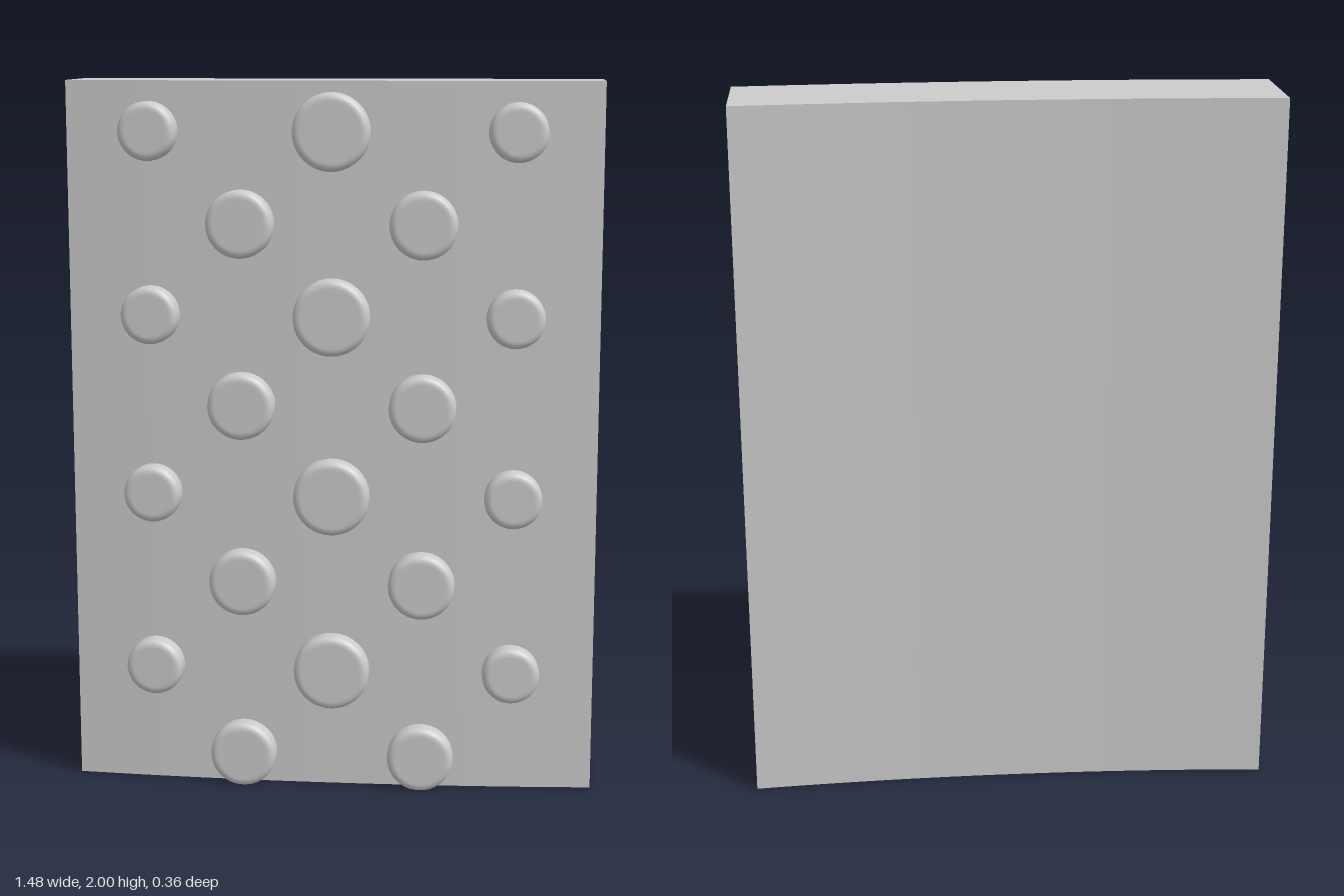
import * as THREE from 'three';
import { toCreasedNormals } from 'three/addons/utils/BufferGeometryUtils.js';

const HALF_W = 0.74, HEIGHT = 2, RADIUS = 9.6;
const FRONT = 0.128, BACK = -0.156;
const sag = (x) => RADIUS - Math.sqrt(RADIUS * RADIUS - x * x);

export function createModel() {
  const model = new THREE.Group();
  model.name = 'studdedPanel';
  const material = new THREE.MeshStandardMaterial({ color: 0xcccccc });

  // Gently bowed slab: curved plan outline extruded upwards
  const steps = 24, outline = [];
  for (let i = 0; i <= steps; i++) {
    const x = -HALF_W + (2 * HALF_W * i) / steps;
    outline.push(new THREE.Vector2(x, -(FRONT - sag(x))));
  }
  for (let i = steps; i >= 0; i--) {
    const x = -HALF_W + (2 * HALF_W * i) / steps;
    outline.push(new THREE.Vector2(x, -(BACK - sag(x))));
  }
  const slabGeo = new THREE.ExtrudeGeometry(new THREE.Shape(outline), { depth: HEIGHT, bevelEnabled: false });
  slabGeo.rotateX(-Math.PI / 2);
  const slab = new THREE.Mesh(toCreasedNormals(slabGeo, 0.5), material);
  slab.name = 'curvedSlab';
  model.add(slab);

  // Round stud with a softened rim, standing square to the bowed face
  function addStud(x, y, r) {
    const h = 0.05, b = 0.02;
    const profile = [new THREE.Vector2(r, -0.02)];
    for (let i = 0; i <= 5; i++) {
      const a = (i / 5) * Math.PI / 2;
      profile.push(new THREE.Vector2(r - b + b * Math.cos(a), h - b + b * Math.sin(a)));
    }
    profile.push(new THREE.Vector2(r - b - 0.005, h), new THREE.Vector2(0, h));
    const geo = new THREE.LatheGeometry(profile, 40);
    geo.rotateX(Math.PI / 2);
    geo.rotateY(Math.asin(x / RADIUS));
    geo.translate(x, y, FRONT - sag(x));
    // The lowest studs are trimmed flush with the base
    const pos = geo.attributes.position;
    for (let i = 0; i < pos.count; i++) pos.setY(i, Math.max(0, pos.getY(i)));
    const stud = new THREE.Mesh(geo, material);
    stud.name = 'stud';
    model.add(stud);
  }

  // Staggered columns, studs shrinking away from the middle
  for (let row = 0; row < 4; row++) {
    const low = 0.09 + row * 0.507, high = 0.342 + row * 0.507;
    addStud(0, high, 0.107);
    for (const side of [-1, 1]) {
      addStud(side * 0.253, low, 0.094);
      addStud(side * 0.507, high, 0.081);
    }
  }
  return model;
}
